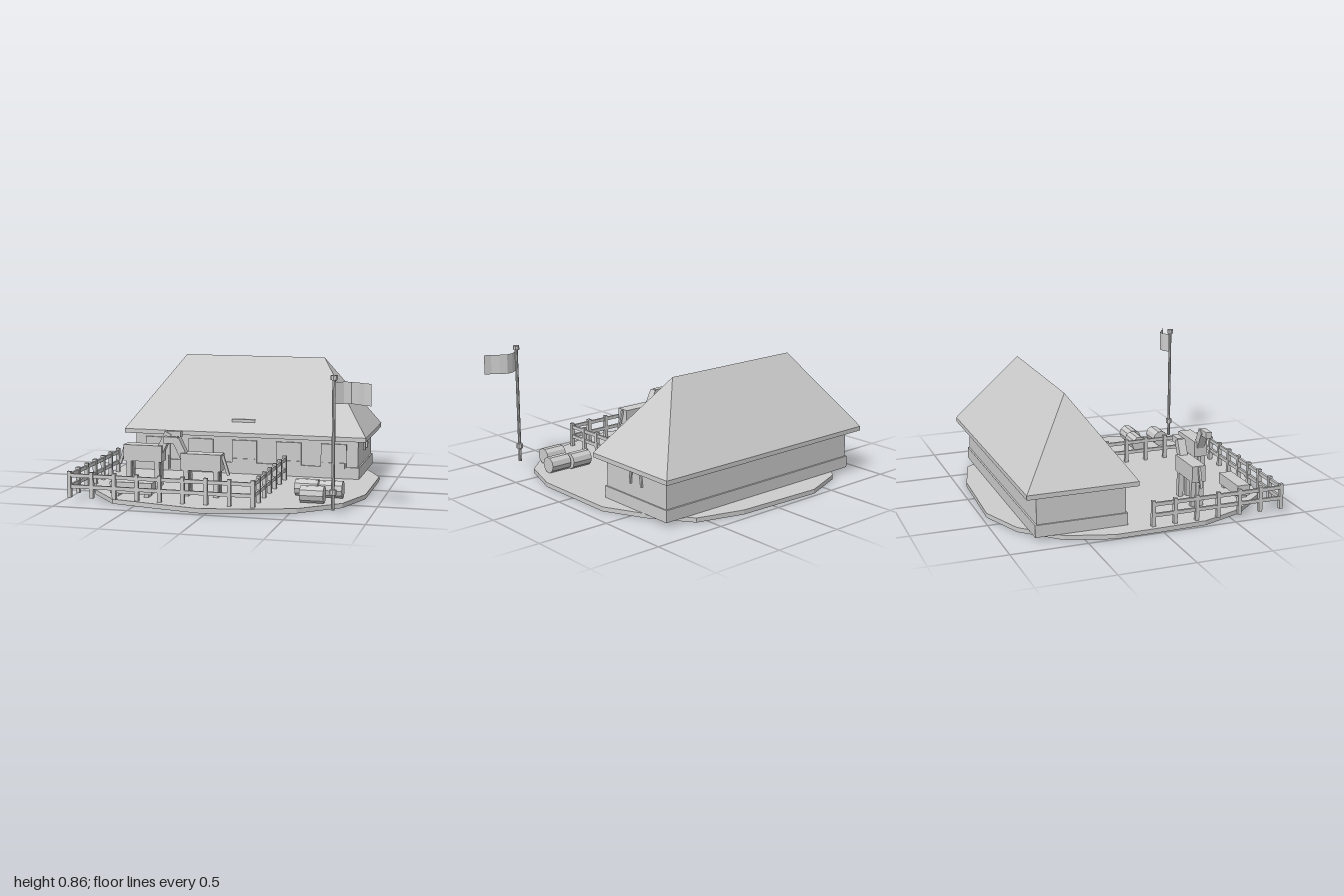
import * as THREE from 'three';

export function createModel() {
  const model = new THREE.Group();
  const grey = new THREE.MeshStandardMaterial({ color: 0xcccccc });
  grey.name = 'light grey';
  grey.flatShading = true;
  const greySheet = new THREE.MeshStandardMaterial({ color: 0xcccccc, side: THREE.DoubleSide });
  greySheet.name = 'light grey cloth';
  greySheet.flatShading = true;

  const add = (name, geometry, parent = model, material = grey) => {
    const mesh = new THREE.Mesh(geometry, material);
    mesh.name = name;
    parent.add(mesh);
    return mesh;
  };
  const group = (name) => {
    const g = new THREE.Group();
    g.name = name;
    model.add(g);
    return g;
  };
  // Box given by its minimum and maximum on each axis
  const box = (name, x0, x1, y0, y1, z0, z1, parent) => {
    const mesh = add(name, new THREE.BoxGeometry(x1 - x0, y1 - y0, z1 - z0), parent);
    mesh.position.set((x0 + x1) / 2, (y0 + y1) / 2, (z0 + z1) / 2);
    return mesh;
  };

  // Uneven ground slab
  const floor = 0.03;
  const outline = [
    [0.89, 0], [0.89, 0.29], [0.79, 0.59], [0.54, 0.81], [0.25, 0.9],
    [-0.05, 0.96], [-0.36, 0.9], [-0.66, 0.835], [-0.87, 0.59], [-0.98, 0.3],
    [-0.99, 0], [-0.995, -0.32], [-0.9, -0.62], [-0.67, -0.856], [-0.365, -0.97],
    [-0.05, -0.957], [0.25, -0.945], [0.57, -0.855], [0.76, -0.59], [0.89, -0.32],
  ].map(([x, z]) => new THREE.Vector2(x, z));
  const slab = new THREE.ExtrudeGeometry(new THREE.Shape(outline), { depth: floor, bevelEnabled: false });
  add('ground', slab.rotateX(Math.PI / 2).translate(0, floor, 0));

  // Stable building
  const stable = group('stable');
  const cx = -0.0525;
  const cz = -0.495;
  box('foundation', cx - 0.82, cx + 0.82, floor, 0.11, cz - 0.305, cz + 0.305, stable);
  box('walls', cx - 0.81, cx + 0.81, 0.1, 0.31, cz - 0.293, cz + 0.293, stable);
  box('eave', -0.925, 0.82, 0.3, 0.33, -0.865, -0.135, stable);

  // Hipped roof: the top of a box drawn in to a ridge line
  const roof = new THREE.BoxGeometry(1.745, 0.51, 0.73);
  const p = roof.attributes.position;
  for (let i = 0; i < p.count; i++) {
    if (p.getY(i) > 0) {
      p.setX(i, Math.sign(p.getX(i)) * 0.5125);
      p.setZ(i, 0);
    }
  }
  roof.computeVertexNormals();
  add('roof', roof, stable).position.set(cx, 0.585, -0.5);
  box('signBoard', -0.14, 0.025, 0.35, 0.42, -0.2, -0.185, stable);

  // Stall openings with half doors
  for (let i = -2; i <= 2; i++) {
    const x = cx + i * 0.32;
    box('stallOpening', x - 0.09, x + 0.09, floor, 0.27, -0.21, -0.188, stable);
    box('halfDoor', x - 0.08, x + 0.08, floor + 0.01, 0.14, -0.195, -0.18, stable);
  }

  // Arched horseshoe on the end wall
  const arch = new THREE.CatmullRomCurve3(
    [[-0.055, 0.195], [-0.05, 0.25], [-0.03, 0.3], [0, 0.315], [0.03, 0.3], [0.05, 0.25], [0.055, 0.195]]
      .map(([z, y]) => new THREE.Vector3(0.763, y, -0.5 + z)));
  add('horseshoe', new THREE.TubeGeometry(arch, 16, 0.01, 6), stable);

  // Paddock fence on three sides
  const fence = group('fence');
  const [fx0, fx1, fz0, fz1] = [-0.947, 0.272, -0.05, 0.845];
  const post = (x, z) => box('fencePost', x - 0.0125, x + 0.0125, floor, 0.2, z - 0.0125, z + 0.0125, fence);
  for (let i = 0; i <= 8; i++) post(fx0 + (fx1 - fx0) * i / 8, fz1);
  for (let i = 0; i < 6; i++) {
    for (const x of [fx0, fx1]) post(x, fz0 + (fz1 - fz0) * i / 6);
  }
  for (const y of [0.09, 0.162]) {
    box('frontRail', fx0, fx1, y, y + 0.024, fz1 - 0.008, fz1 + 0.008, fence);
    for (const x of [fx0, fx1]) box('sideRail', x - 0.008, x + 0.008, y, y + 0.024, fz0, fz1, fence);
  }

  // Horses, built facing +x around the middle of the body
  const makeHorse = (x, z, turn) => {
    const horse = group('horse');
    box('body', -0.135, 0.135, 0.2, 0.31, -0.047, 0.047, horse);
    for (const lx of [-0.1, 0.1]) {
      for (const lz of [-0.027, 0.027]) {
        box('leg', lx - 0.017, lx + 0.017, floor, 0.205, lz - 0.017, lz + 0.017, horse);
      }
    }
    const neck = add('neck', new THREE.BoxGeometry(0.05, 0.14, 0.055), horse);
    neck.position.set(0.145, 0.335, 0);
    neck.rotation.z = -0.45;
    box('head', 0.165, 0.26, 0.367, 0.41, -0.021, 0.021, horse);
    const tail = add('tail', new THREE.BoxGeometry(0.018, 0.135, 0.016), horse);
    tail.position.set(-0.155, 0.237, 0);
    tail.rotation.z = -0.3;
    horse.position.set(x, 0, z);
    horse.rotation.y = turn;
  };
  makeHorse(-0.605, 0.355, 0);
  makeHorse(-0.13, 0.587, Math.PI);

  // Water trough
  box('trough', -0.71, -0.425, 0.05, 0.125, 0.655, 0.745);
  for (const x of [-0.67, -0.465]) box('troughFoot', x - 0.015, x + 0.015, floor, 0.055, 0.665, 0.735);

  // Round hay bales lying along x
  for (const [x, z] of [[0.53, 0.425], [0.692, 0.445], [0.605, 0.628]]) {
    const bale = add('hayBale', new THREE.CylinderGeometry(0.056, 0.056, 0.152, 10));
    bale.rotation.z = Math.PI / 2;
    bale.position.set(x, 0.087, z);
  }

  // Flagpole with collars and a waving flag
  const flagpole = group('flagpole');
  const disc = (name, r, y0, y1) => {
    add(name, new THREE.CylinderGeometry(r, r, y1 - y0, 8), flagpole).position.set(0.765, (y0 + y1) / 2, 0.795);
  };
  disc('pole', 0.011, floor, 0.85);
  disc('lowerCollar', 0.022, 0.125, 0.158);
  disc('poleCap', 0.022, 0.835, 0.863);
  const flag = new THREE.PlaneGeometry(0.225, 0.135, 5, 1);
  const f = flag.attributes.position;
  for (let i = 0; i < f.count; i++) {
    const u = f.getX(i) / 0.225 + 0.5;
    f.setZ(i, -0.04 * Math.sin(u * Math.PI * 1.5));
  }
  flag.computeVertexNormals();
  add('flag', flag, flagpole, greySheet).position.set(0.8875, 0.755, 0.795);

  return model;
}
